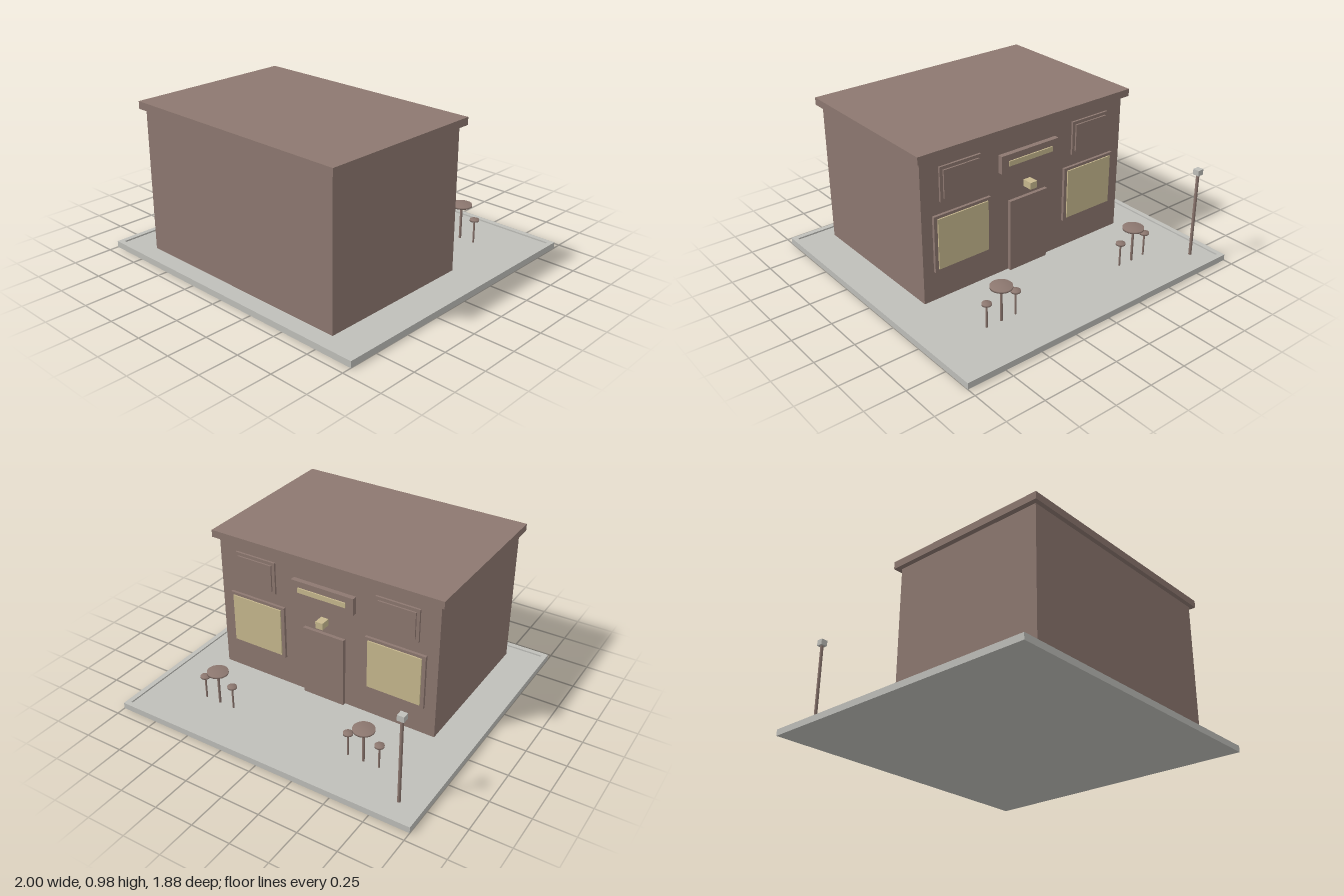
import * as THREE from 'three';
import { mergeVertices } from 'three/addons/utils/BufferGeometryUtils.js';

export function createModel() {
  const model = new THREE.Group();
  model.name = 'cafeBuilding';

  const mat = (name, color) => {
    const m = new THREE.MeshStandardMaterial({ color });
    m.name = name;
    return m;
  };
  const brown = mat('brown', 0x8d7870);
  const concrete = mat('concrete', 0xbfbfba);
  const cream = mat('cream', 0xc8b98f);

  const add = (name, geometry, material, parent = model) => {
    const mesh = new THREE.Mesh(geometry, material);
    mesh.name = name;
    parent.add(mesh);
    return mesh;
  };

  // Box given by its limits on each axis
  const box = (name, material, [x0, x1], [y0, y1], [z0, z1], parent) => {
    const mesh = add(name, new THREE.BoxGeometry(x1 - x0, y1 - y0, z1 - z0), material, parent);
    mesh.position.set((x0 + x1) / 2, (y0 + y1) / 2, (z0 + z1) / 2);
    return mesh;
  };

  // Cylinder with normals smoothed across its rims
  const softCylinder = (name, radius, x, y0, y1, z, parent) => {
    let g = new THREE.CylinderGeometry(radius, radius, y1 - y0, 24);
    g.deleteAttribute('normal');
    g.deleteAttribute('uv');
    g = mergeVertices(g);
    g.computeVertexNormals();
    const mesh = add(name, g, brown, parent);
    mesh.position.set(x, (y0 + y1) / 2, z);
    return mesh;
  };

  // Paved base with a low raised kerb
  const floorY = 0.03, kerbY = 0.04;
  box('paving', concrete, [-0.968, 0.968], [0, floorY], [-0.908, 0.908]);
  const kerbShape = new THREE.Shape([
    new THREE.Vector2(-1, -0.94), new THREE.Vector2(1, -0.94),
    new THREE.Vector2(1, 0.94), new THREE.Vector2(-1, 0.94),
  ]);
  kerbShape.holes.push(new THREE.Path([
    new THREE.Vector2(-0.968, -0.908), new THREE.Vector2(-0.968, 0.908),
    new THREE.Vector2(0.968, 0.908), new THREE.Vector2(0.968, -0.908),
  ]));
  const kerb = new THREE.ExtrudeGeometry(kerbShape, { depth: kerbY, bevelEnabled: false });
  add('kerb', kerb.rotateX(-Math.PI / 2), concrete);

  // Main block and overhanging flat roof
  const wallZ = -0.208;
  box('walls', brown, [-0.757, 0.757], [floorY, 0.937], [wallZ, 0.818]);
  box('roof', brown, [-0.788, 0.788], [0.937, 0.984], [-0.244, 0.846]);

  // Plate fixed to the facade, standing out to depth z
  const plate = (name, material, cx, width, y, z, back = wallZ, parent = model) =>
    box(name, material, [cx - width / 2, cx + width / 2], y, [z, back], parent);

  // Shop windows and upper windows, mirrored about the door
  for (const side of [-1, 1]) {
    const label = side > 0 ? 'left' : 'right';
    const shop = new THREE.Group();
    shop.name = label + 'ShopWindow';
    plate('frame', brown, side * 0.485, 0.4, [0.22, 0.58], -0.226, wallZ, shop);
    plate('glass', cream, side * 0.485, 0.355, [0.24, 0.562], -0.234, -0.226, shop);
    const upper = new THREE.Group();
    upper.name = label + 'UpperWindow';
    plate('frame', brown, side * 0.49, 0.285, [0.655, 0.87], -0.221, wallZ, upper);
    plate('pane', brown, side * 0.49, 0.245, [0.675, 0.85], -0.231, -0.221, upper);
    model.add(shop, upper);
  }

  // Sign board with its cream strip
  plate('signBoard', brown, 0, 0.43, [0.703, 0.815], -0.241);
  plate('signStrip', cream, 0, 0.33, [0.743, 0.775], -0.249, -0.241);

  // Door and the lantern above it
  plate('door', brown, 0, 0.285, [floorY, 0.5], -0.231);
  plate('doorLantern', cream, 0, 0.05, [0.558, 0.602], -0.273);

  // Round tables, each with a stool on either side
  const z = -0.607;
  for (const side of [-1, 1]) {
    const set = new THREE.Group();
    set.name = side > 0 ? 'leftTableSet' : 'rightTableSet';
    const x = side * 0.515;
    softCylinder('tableStem', 0.008, x, floorY, 0.25, z, set);
    softCylinder('tableTop', 0.066, x, 0.25, 0.262, z, set);
    for (const dx of [-0.103, 0.103]) {
      softCylinder('stoolStem', 0.006, x + dx, floorY, 0.178, z, set);
      softCylinder('stoolSeat', 0.029, x + dx, 0.178, 0.19, z, set);
    }
    model.add(set);
  }

  // Lamp post in the corner
  softCylinder('lampPost', 0.01, -0.85, floorY, 0.588, -0.79);
  box('lampHead', concrete, [-0.871, -0.829], [0.586, 0.622], [-0.811, -0.769]);

  return model;
}
